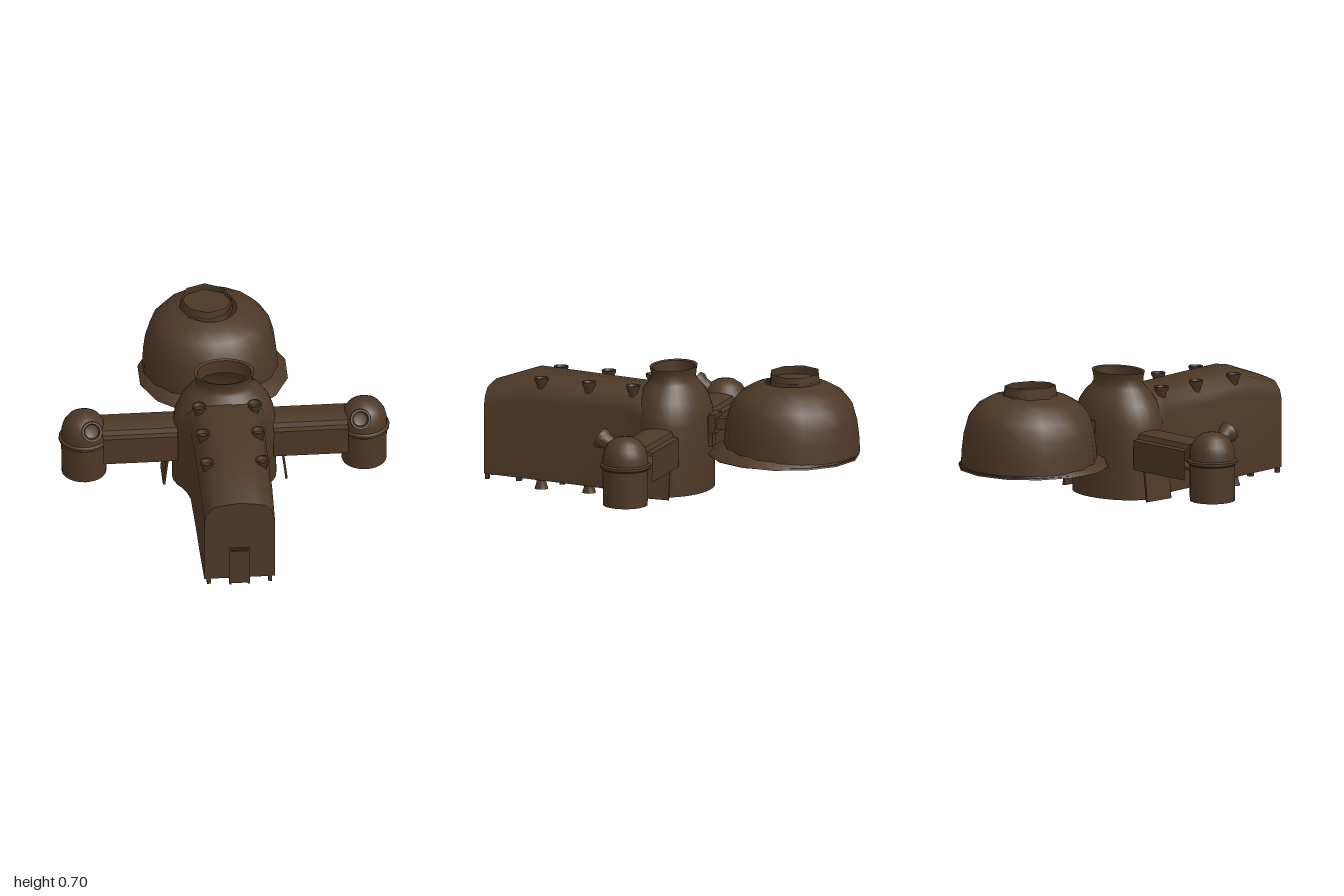
import * as THREE from 'three';
import { toCreasedNormals } from 'three/addons/utils/BufferGeometryUtils.js';

const V2 = (pts) => pts.map(([x, y]) => new THREE.Vector2(x, y));

// Skin a surface through open cross-sections (arrays of [x, y, z])
function loft(sections, crease = 0.7) {
  const n = sections[0].length, index = [];
  for (let s = 0; s < sections.length - 1; s++) {
    for (let i = 0; i < n - 1; i++) {
      const a = s * n + i, b = a + n;
      index.push(a, b, a + 1, a + 1, b, b + 1);
    }
  }
  const g = new THREE.BufferGeometry();
  g.setAttribute('position', new THREE.Float32BufferAttribute(sections.flat(2), 3));
  g.setIndex(index);
  return toCreasedNormals(g, crease);
}

export function createModel() {
  const bronze = new THREE.MeshStandardMaterial({ color: 0x4d3826, side: THREE.DoubleSide });
  bronze.name = 'dark bronze';
  const model = new THREE.Group();
  model.name = 'domedStation';

  const add = (name, geometry, x = 0, y = 0, z = 0, parent = model) => {
    const m = new THREE.Mesh(geometry, bronze);
    m.name = name;
    m.position.set(x, y, z);
    parent.add(m);
    return m;
  };
  const box = (w, h, d) => new THREE.BoxGeometry(w, h, d);
  const lathe = (pts, seg) => toCreasedNormals(new THREE.LatheGeometry(V2(pts), seg), 0.7);

  // Long hall: rounded roof and walls, open underneath
  const hallSection = (z, w, bottom, shoulder, top) => {
    const half = [[w, bottom], [w, shoulder - 0.08], [w - 0.015, shoulder - 0.03],
      [w - 0.05, shoulder + 0.01], [w - 0.1, top - 0.01], [0, top]];
    const left = half.slice(0, -1).map(([x, y]) => [-x, y]).reverse();
    return [...half, ...left].map(([x, y]) => [x - 0.01, y, z]);
  };
  const stations = [
    [0.1, 0.235, 0.035, 0.5, 0.56],
    [0.16, 0.208, 0.035, 0.53, 0.575],
    [0.22, 0.192, 0.035, 0.54, 0.58],
    [0.5, 0.188, 0.045, 0.55, 0.595],
    [0.77, 0.187, 0.055, 0.555, 0.608],
    [0.99, 0.184, 0.062, 0.5, 0.53],
  ].map((s) => hallSection(...s));
  add('hallShell', loft(stations));
  const endShape = new THREE.Shape(V2(stations[stations.length - 1]));
  add('hallFront', new THREE.ShapeGeometry(endShape), 0, 0, 0.99);

  // Door with raised frame on the hall front
  add('door', box(0.085, 0.2, 0.006), -0.01, 0.13, 0.992);
  for (const s of [-1, 1]) add('doorJamb', box(0.012, 0.22, 0.012), -0.01 + s * 0.048, 0.135, 0.993);
  add('doorLintel', box(0.108, 0.01, 0.012), -0.01, 0.245, 0.993);
  for (const s of [-1, 1]) add('frontTab', box(0.02, 0.06, 0.02), -0.01 + s * 0.16, 0.06, 0.98);

  // Pillars through the hall, with flared roof vents and feet
  const vent = lathe([[0.018, 0.52], [0.024, 0.555], [0.036, 0.575], [0.038, 0.59], [0.03, 0.59], [0.022, 0.57], [0, 0.57]], 14);
  const pillar = lathe([[0, 0], [0.036, 0], [0.026, 0.03], [0.024, 0.05], [0.022, 0.52]], 14);
  for (const s of [-1, 1]) {
    for (const z of [0.175, 0.42, 0.685]) {
      add('roofVent', vent, -0.01 + s * 0.145, 0, z);
      add('pillar', pillar, -0.01 + s * 0.145, 0, z);
    }
    for (const z of [0.31, 0.57, 0.81]) add('innerPost', box(0.025, 0.2, 0.025), -0.01 + s * 0.14, 0.13, z);
  }

  // Central drum with shoulder and open collar
  const drum = add('centralDrum', lathe([[0.272, 0.035], [0.27, 0.25], [0.266, 0.4], [0.255, 0.46],
    [0.23, 0.52], [0.195, 0.57], [0.16, 0.6], [0.147, 0.62], [0.15, 0.655], [0.157, 0.68], [0.14, 0.675], [0.138, 0.6]], 32), -0.01, 0, 0.005);
  drum.scale.z = 0.76;
  add('innerPlatform', new THREE.CylinderGeometry(0.11, 0.11, 0.02, 16), -0.01, 0.5, 0.02);
  add('innerColumn', new THREE.CylinderGeometry(0.025, 0.025, 0.44, 12), -0.01, 0.27, 0.02);

  // Mirrored wings: vaulted passage, turret with domed top, horn and buttress
  const turret = lathe([[0.117, 0.095], [0.119, 0.285], [0.132, 0.295], [0.132, 0.308], [0.119, 0.315],
    [0.118, 0.35], [0.108, 0.39], [0.085, 0.425], [0.05, 0.448], [0, 0.458]], 24);
  const horn = lathe([[0.04, -0.07], [0.042, 0], [0.056, 0.025], [0.054, 0.045], [0.042, 0.045], [0.036, 0.01], [0, 0]], 14);
  const vault = [[0.2, 0.112], [0.355, 0.115], [0.36, 0.085], [0.385, 0.075], [0.395, 0.04], [0.398, 0]];
  const vaultLine = [...vault, ...vault.slice(0, -1).map(([y, z]) => [y, -z]).reverse()];
  for (const s of [-1, 1]) {
    const wing = new THREE.Group();
    wing.name = s > 0 ? 'leftWing' : 'rightWing';
    wing.position.set(-0.01, 0, -0.005);
    model.add(wing);
    add('passage', loft([0.25, 0.36, 0.64].map((x) => vaultLine.map(([y, z]) => [s * x, y, z]))), 0, 0, 0, wing);
    add('passageFloor', box(0.36, 0.015, 0.11), s * 0.45, 0.25, 0, wing);
    add('turret', turret, s * 0.73, 0, 0, wing);
    const h = add('turretHorn', horn, s * 0.7, 0.415, 0.115, wing);
    h.rotation.x = 1.05;
    const plate = add('buttress', box(0.012, 0.24, 0.17), s * 0.305, 0.155, 0, wing);
    plate.rotation.z = s * 0.12;
  }

  // Rear dome with collar, offset brim and underside
  add('rearDome', lathe([[0.355, 0.27], [0.35, 0.36], [0.34, 0.44], [0.315, 0.53], [0.27, 0.585],
    [0.2, 0.625], [0.14, 0.64]], 18), -0.03, 0, -0.645);
  const collar = add('rearCollar', new THREE.CylinderGeometry(0.133, 0.14, 0.07, 8, 1, true), -0.05, 0.655, -0.655);
  collar.rotation.z = -0.04;
  add('rearCollarFloor', new THREE.CylinderGeometry(0.138, 0.138, 0.01, 8), -0.05, 0.645, -0.655);
  const brim = add('rearBrim', lathe([[0.395, 0], [0.385, 0.015], [0.3, 0.06]], 14), -0.02, 0.255, -0.605);
  brim.rotation.x = -0.012;
  add('rearUnderside', new THREE.CylinderGeometry(0.39, 0.39, 0.008, 14), -0.02, 0.258, -0.605);

  // Coupling between drum and rear dome
  add('couplingBlock', box(0.1, 0.1, 0.04), -0.01, 0.395, -0.225);
  add('couplingNeck', box(0.055, 0.06, 0.16), -0.01, 0.395, -0.26);
  add('couplingBracket', box(0.05, 0.1, 0.03), -0.01, 0.32, -0.205);

  return model;
}
